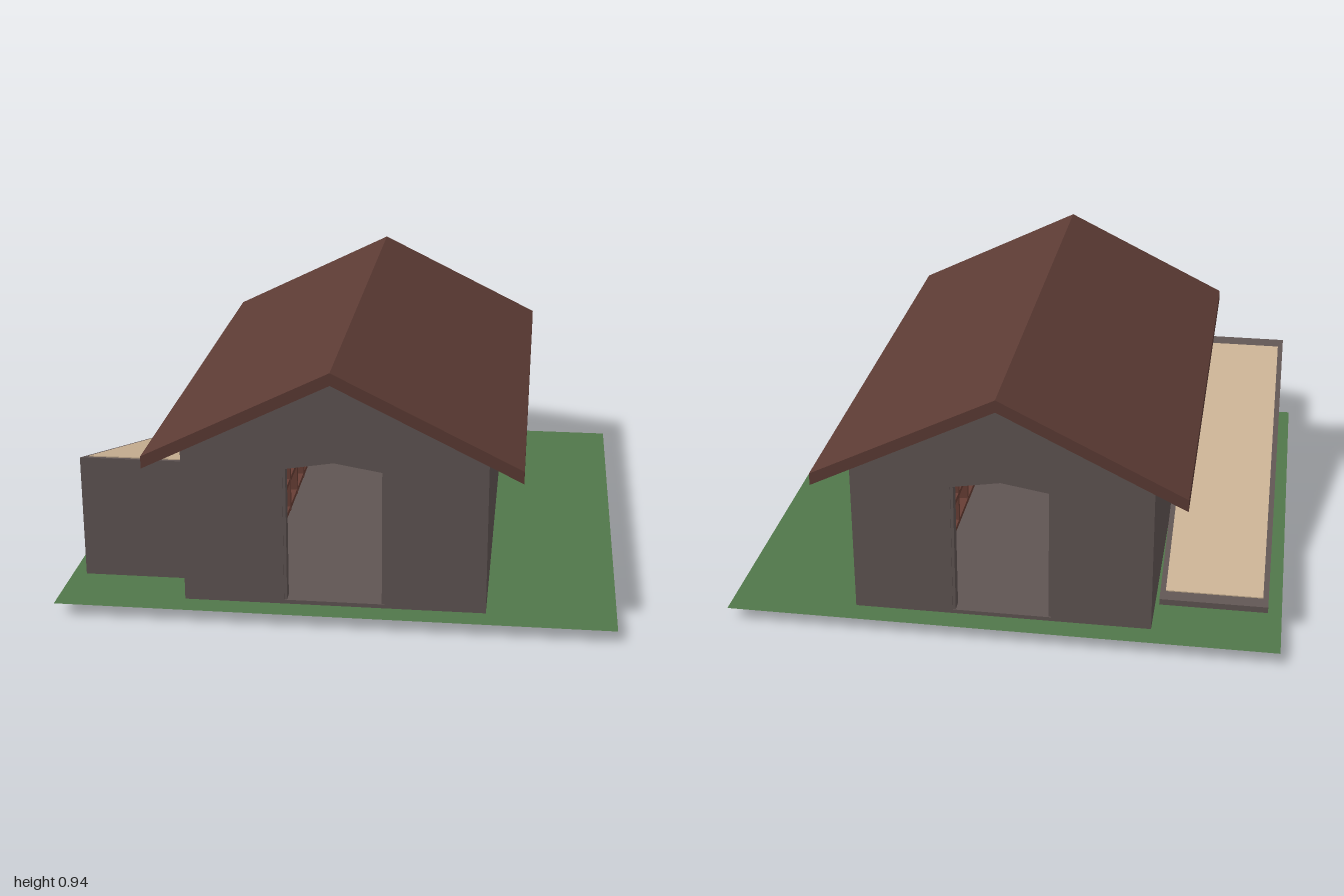
import * as THREE from 'three';

const mat = (name, color, side = THREE.FrontSide) => {
  const m = new THREE.MeshStandardMaterial({ color, side });
  m.name = name;
  return m;
};

const shapeOf = pts => new THREE.Shape(pts.map(([x, y]) => new THREE.Vector2(x, y)));

export function createModel() {
  const group = new THREE.Group();
  const wall = mat('stone grey', 0x605553);
  const roofMat = mat('roof brown', 0x5c3b34);
  const wood = mat('shelf wood', 0x673e35);
  const grass = mat('grass green', 0x51774a, THREE.DoubleSide);
  const sand = mat('ramp tan', 0xcab294);

  const add = (name, geo, material, x = 0, y = 0, z = 0, parent = group) => {
    const m = new THREE.Mesh(geo, material);
    m.name = name;
    m.position.set(x, y, z);
    parent.add(m);
    return m;
  };
  const box = (name, material, x0, x1, y0, y1, z0, z1, parent) =>
    add(name, new THREE.BoxGeometry(x1 - x0, y1 - y0, z1 - z0), material,
      (x0 + x1) / 2, (y0 + y1) / 2, (z0 + z1) / 2, parent);
  const extrude = (shape, depth) => new THREE.ExtrudeGeometry(shape, { depth, bevelEnabled: false });

  // Ground sheet, slightly above the foundation's underside
  add('ground', new THREE.PlaneGeometry(2, 2).rotateX(-Math.PI / 2), grass, 0, 0.045, 0);

  // Foundation and floor
  const W = 0.54, D = 0.91, T = 0.05, floorY = 0.06;
  const under = x => 0.9 - 0.492 * x;
  box('floor', wall, -W, W, 0, floorY, -D, D);

  // Gable ends with peaked doorways
  const gable = shapeOf([[-W, floorY], [-0.18, floorY], [-0.18, 0.56], [0, 0.59], [0.18, 0.56],
    [0.18, floorY], [W, floorY], [W, under(W)], [0, 0.9], [-W, under(W)]]);
  add('frontGable', extrude(gable, T), wall, 0, 0, D - T);
  add('backGable', extrude(gable, T), wall, 0, 0, -D);

  for (const s of [-1, 1]) {
    const side = s < 0 ? 'right' : 'left';

    // Side wall, its top cut to the roof pitch
    const pts = [[W - T, floorY], [W, floorY], [W, under(W)], [W - T, under(W - T)]];
    add(side + 'Wall', extrude(shapeOf(pts.map(([x, y]) => [s * x, y])), 2 * (D - T)), wall, 0, 0, -(D - T));

    // Door jambs
    for (const z of [-D + T / 2, D - T / 2]) {
      const a = s * 0.17, b = s * 0.18;
      box(side + 'Jamb', wall, Math.min(a, b), Math.max(a, b), floorY, 0.56, z - T / 2 + 0.004, z + T / 2 - 0.004);
    }

    // Open shelving along the side wall
    const rack = new THREE.Group();
    rack.name = side + 'Shelving';
    group.add(rack);
    const x0 = s < 0 ? -0.49 : 0.28, x1 = x0 + 0.21, L = 0.65, top = 0.56;
    const cols = 7, rows = 4, t = 0.02;
    for (let i = 0; i <= cols; i++) {
      const z = -L + t / 2 + i * (2 * L - t) / cols;
      box('shelfDivider', wood, x0, x1, floorY, top, z - t / 2, z + t / 2, rack);
    }
    for (let j = 0; j <= rows; j++) {
      const y = floorY + t / 2 + j * (top - floorY - t) / rows;
      box('shelfBoard', wood, x0, x1 - 0.002, y - t / 2, y + t / 2, -L + 0.002, L - 0.002, rack);
    }
    const bx = s < 0 ? x0 : x1 - 0.01;
    box('shelfBack', wood, bx, bx + 0.01, floorY, top, -L + 0.003, L - 0.003, rack);
  }

  // Pitched roof
  const roof = shapeOf([[-0.66, 0.575], [0, 0.9], [0.66, 0.575], [0.66, 0.62], [0, 0.945], [-0.66, 0.62]]);
  add('roof', extrude(roof, 1.99), roofMat, 0, 0, -0.995);

  // Side ramp: wedge rising towards the front; profile drawn in (z, y)
  const rampX = -0.95, rampW = 0.395, lowY = 0.068, highY = 0.507;
  const slope = z => lowY + (highY - lowY) * (z + 0.74) / 1.48;
  const along = (pts, width) => extrude(shapeOf(pts.map(([z, y]) => [-z, y])), width).rotateY(Math.PI / 2);
  add('rampBase', along([[-0.74, 0.042], [0.74, 0.042], [0.74, highY], [-0.74, lowY]], rampW), wall, rampX, 0, 0);

  // Ramp surface set inside its rim
  const a = -0.7, b = 0.69;
  add('rampSurface', along([[a, slope(a) - 0.002], [b, slope(b) - 0.002],
    [b, slope(b) + 0.004], [a, slope(a) + 0.004]], rampW - 0.04), sand, rampX + 0.02, 0, 0);

  return group;
}
